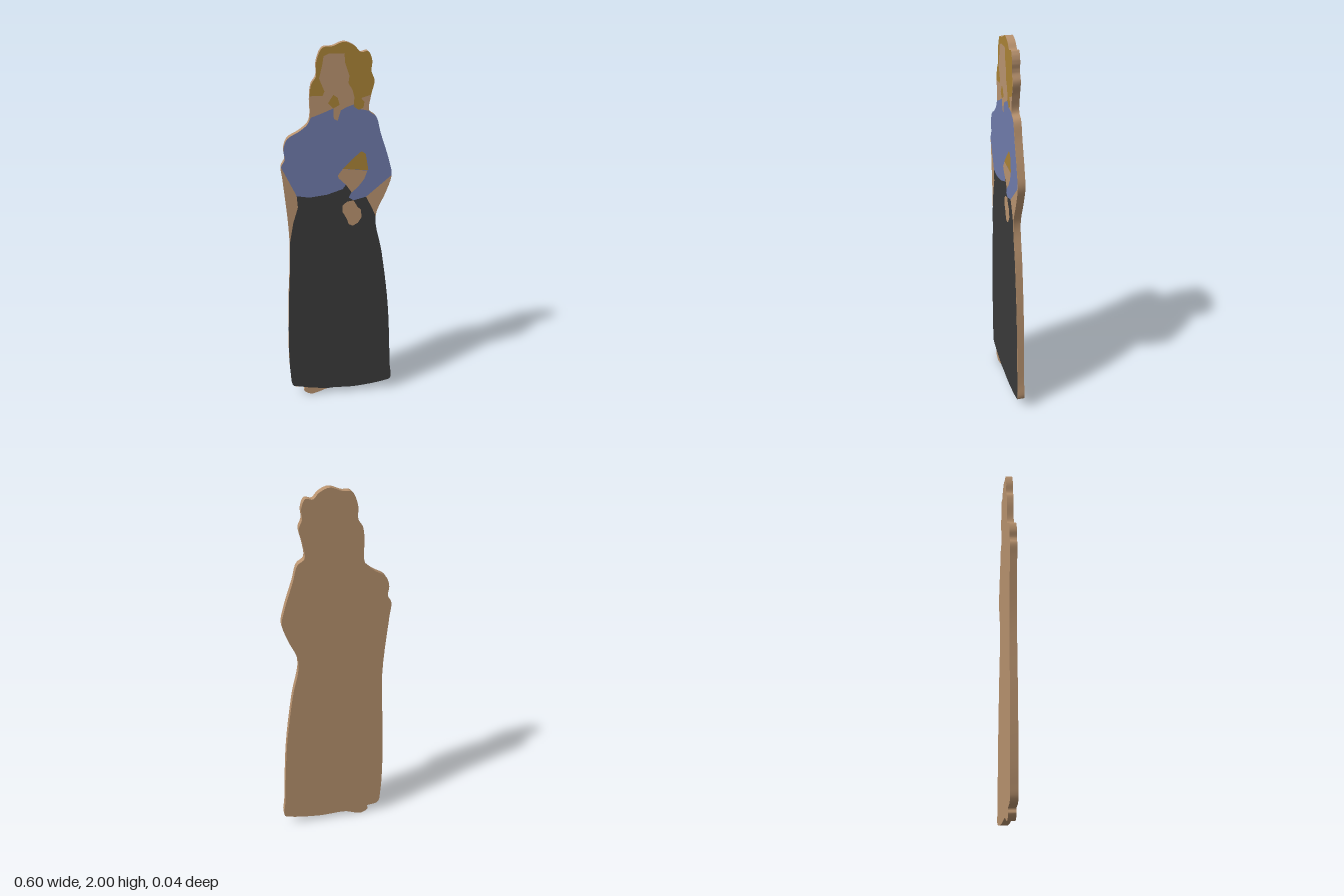
import * as THREE from 'three';
import { toCreasedNormals } from 'three/addons/utils/BufferGeometryUtils.js';

const material = (name, color) => new THREE.MeshStandardMaterial({ name, color });

// Silhouette, clockwise from the hair tips at the figure's right
const OUTLINE = [
  [-.15, 1.746], [-.14, 1.805], [-.118, 1.84], [-.115, 1.91], [-.085, 1.975], [-.04, 1.98],
  [.02, 2], [.07, 1.98], [.1, 1.95], [.135, 1.955], [.155, 1.91], [.152, 1.86],
  [.168, 1.815], [.153, 1.745], [.145, 1.665], [.18, 1.635], [.205, 1.55], [.25, 1.41],
  [.267, 1.325], [.24, 1.235], [.188, 1.1], [.225, .89], [.267, .57], [.29, .17],
  [.295, .07], [.26, .055], [.087, .03], [-.07, .03], [-.125, .01], [-.17, 0],
  [-.21, .025], [-.205, .048], [-.27, .065], [-.285, .15], [-.29, .35], [-.283, .6],
  [-.267, .97], [-.293, 1.31], [-.3, 1.39], [-.28, 1.43], [-.285, 1.48], [-.265, 1.535],
  [-.2, 1.575], [-.155, 1.62],
];
const STEPS = 5;
const curve = new THREE.CatmullRomCurve3(OUTLINE.map(([x, y]) => new THREE.Vector3(x, y, 0)), true);

// Smoothed stretch of the silhouette between two of its points
function edge(from, to) {
  const points = [];
  for (let i = from * STEPS; i <= to * STEPS; i++) {
    const p = curve.getPoint(i / (OUTLINE.length * STEPS));
    points.push([p.x, p.y]);
  }
  return points;
}

const shapeOf = (points) => new THREE.Shape(points.map(([x, y]) => new THREE.Vector2(x, y)));

export function createModel() {
  const group = new THREE.Group();
  group.name = 'standingFigureCutout';
  const skin = material('skin', 0xb9936f);
  const hair = material('hair', 0xaa8336);
  const blouse = material('blouse', 0x6f7bab);
  const skirt = material('skirt', 0x3a3a3a);

  const add = (name, geometry, mat, z) => {
    const mesh = new THREE.Mesh(geometry, mat);
    mesh.name = name;
    mesh.position.z = z;
    group.add(mesh);
  };
  const paint = (name, points, mat, z = 0.019) => add(name, new THREE.ShapeGeometry(shapeOf(points)), mat, z);

  // Solid board in the skin colour
  const board = new THREE.ExtrudeGeometry(shapeOf(edge(0, OUTLINE.length).slice(0, -1)),
    { depth: 0.038, bevelEnabled: false });
  add('board', toCreasedNormals(board, 0.6), skin, -0.02);

  // Hair framing the face, and a loose lock under the chin
  paint('hair', [...edge(0, 13),
    [.103, 1.73], [.12, 1.71], [.115, 1.683], [.093, 1.672], [.066, 1.688], [.07, 1.735],
    [.06, 1.772], [.04, 1.804], [.045, 1.84], [.024, 1.9], [.02, 1.947], [-.055, 1.947],
    [-.08, 1.936], [-.087, 1.894], [-.103, 1.83], [-.077, 1.767], [-.087, 1.746]], hair);
  paint('hairLock', [[-.06, 1.71], [-.034, 1.75], [-.013, 1.735], [-.003, 1.7], [-.034, 1.683]], hair, 0.02);

  // Blouse with the notched neckline and the bent sleeve
  paint('blouse', [...edge(38, 43),
    [-.145, 1.64], [-.087, 1.661], [-.034, 1.683], [-.032, 1.63], [-.013, 1.62], [.003, 1.672],
    [.034, 1.688], [.07, 1.7], [.1, 1.675], ...edge(14, 18),
    [.135, 1.212], [.07, 1.196], [.045, 1.212], [.06, 1.245], [.03, 1.285], [.013, 1.26],
    [-.07, 1.233], [-.16, 1.222], [-.225, 1.233], [-.235, 1.255]], blouse);

  // Long skirt
  paint('skirt', [[-.225, 1.233], [-.16, 1.222], [-.07, 1.233], [.013, 1.26], [.03, 1.285],
    [.06, 1.245], [.045, 1.212], [.07, 1.196], [.135, 1.212], [.167, 1.15],
    ...edge(20, 27), [-.17, .042], ...edge(32, 36), [-.246, 1.085], [-.22, 1.17]], skirt);

  // Forearm, cuff and hanging hand in front of the clothes
  paint('forearm', [[-.013, 1.335], [.013, 1.37], [.14, 1.355], [.125, 1.312], [.095, 1.272],
    [.06, 1.24], [.03, 1.283], [-.008, 1.32]], skin, 0.02);
  paint('cuff', [[.013, 1.37], [.06, 1.418], [.108, 1.46], [.13, 1.445], [.145, 1.357]], hair, 0.0202);
  paint('hand', [[.035, 1.19], [.07, 1.196], [.09, 1.16], [.108, 1.143], [.114, 1.1], [.093, 1.068],
    [.066, 1.053], [.045, 1.063], [.034, 1.095], [.013, 1.132], [.013, 1.17]], skin, 0.02);
  return group;
}
